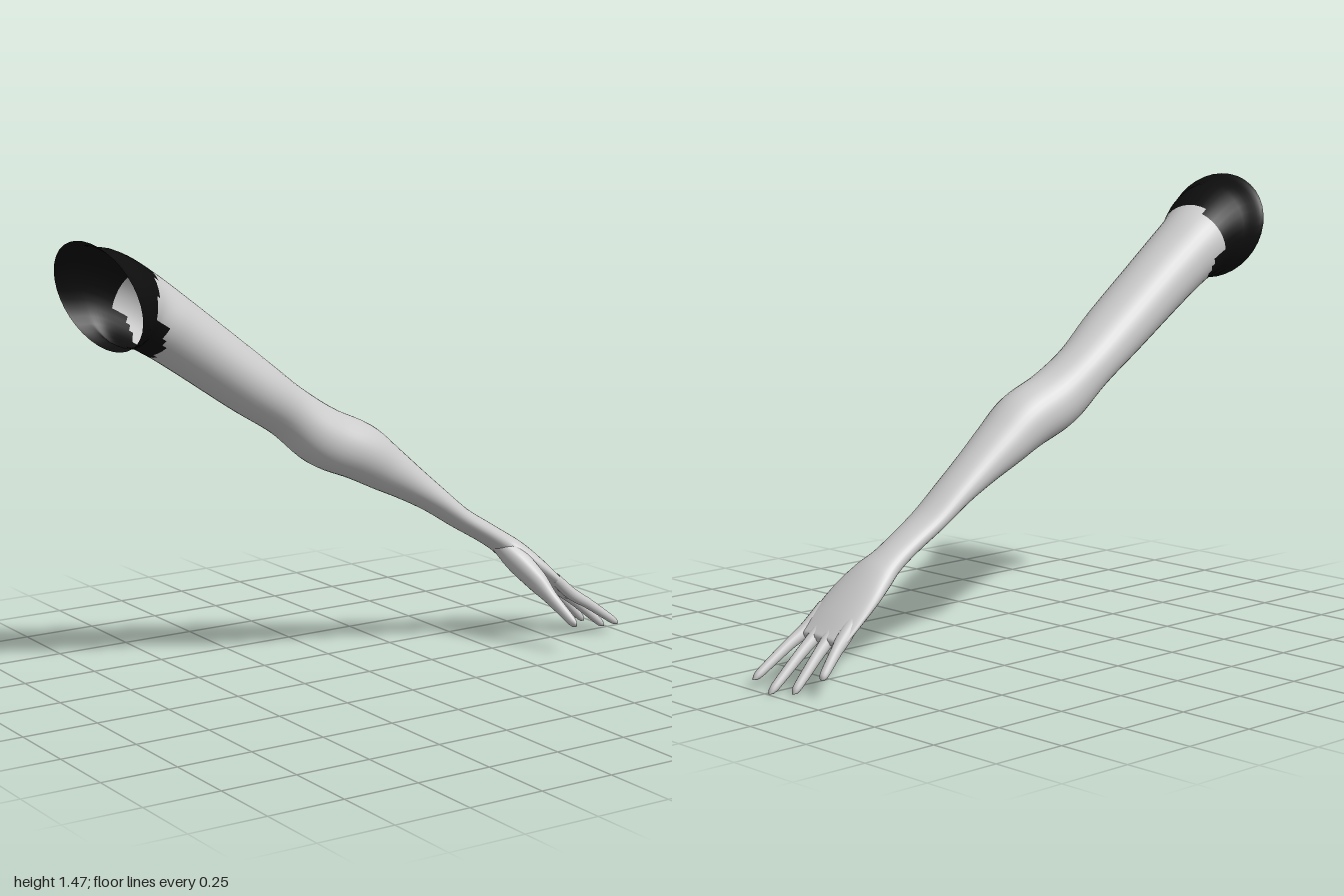
import * as THREE from 'three';

const skin = new THREE.MeshStandardMaterial({ color: 0xcccccc, side: THREE.DoubleSide });
skin.name = 'pale grey skin';
const cloth = new THREE.MeshStandardMaterial({ color: 0x0d0d0d, side: THREE.DoubleSide });
cloth.name = 'black sleeve';

// Smooth limb through stations [x, y, z, half thickness, half width, lean],
// rounded off over the last part of its length (round).
// isCloth(x, angle) tells which faces take the sleeve material.
function limb(name, stations, rings, sides, round, isCloth = () => false) {
  const curve = (pick) => new THREE.CatmullRomCurve3(stations.map(pick), false, 'catmullrom');
  const spine = curve((s) => new THREE.Vector3(s[0], s[1], s[2]));
  const sizes = curve((s) => new THREE.Vector3(s[3], s[4], s[5] || 0));
  const positions = [];
  const faces = [[], []];
  for (let i = 0; i <= rings; i++) {
    const t = i / rings;
    const c = spine.getPoint(t);
    const size = sizes.getPoint(t);
    const along = spine.getTangent(t);
    const side = new THREE.Vector3(0, 0, 1).addScaledVector(along, -along.z).normalize();
    const up = new THREE.Vector3().crossVectors(side, along);
    const e = Math.max(0, (t - 1 + round) / round);
    const taper = Math.sqrt(Math.max(0.0001, 1 - e * e));
    up.multiplyScalar(size.x * taper).addScaledVector(along, size.z);
    side.multiplyScalar(size.y * (0.35 + 0.65 * taper) * (i === rings ? 0.9 : 1));
    for (let j = 0; j < sides; j++) {
      const a = (j / sides) * Math.PI * 2;
      const p = c.clone().addScaledVector(up, Math.sin(a)).addScaledVector(side, Math.cos(a));
      positions.push(p.x, p.y, p.z);
    }
  }
  for (let i = 0; i < rings; i++) {
    for (let j = 0; j < sides; j++) {
      const k = (j + 1) % sides;
      const a = i * sides + j, b = a + sides, d = i * sides + k, e = d + sides;
      const x = (positions[a * 3] + positions[e * 3]) / 2;
      const angle = ((j + 0.5) / sides) * Math.PI * 2;
      faces[isCloth(x, angle) ? 1 : 0].push(a, b, e, a, e, d);
    }
  }
  // close the far end
  const end = spine.getPoint(1);
  const tip = positions.length / 3;
  positions.push(end.x, end.y, end.z);
  for (let j = 0; j < sides; j++) {
    faces[0].push(rings * sides + j, tip, rings * sides + ((j + 1) % sides));
  }
  const geometry = new THREE.BufferGeometry();
  geometry.setAttribute('position', new THREE.Float32BufferAttribute(positions, 3));
  geometry.setIndex([...faces[0], ...faces[1]]);
  geometry.addGroup(0, faces[0].length, 0);
  geometry.addGroup(faces[0].length, faces[1].length, 1);
  geometry.computeVertexNormals();
  const mesh = new THREE.Mesh(geometry, [skin, cloth]);
  mesh.name = name;
  return mesh;
}

// Ragged sleeve hem: long underneath, notched at the sides
function sleeveHem(x, angle) {
  const s = Math.sin(angle);
  if (s < -0.25) return x < -0.75;
  return x < -0.8 + 0.035 * Math.max(0, s);
}

export function createModel() {
  const group = new THREE.Group();
  group.name = 'arm';

  // Open sleeve, upper arm, elbow, forearm and palm
  group.add(limb('armAndSleeve', [
    [-0.94, 1.313, -0.05, 0.16, 0.183, -0.094],
    [-0.87, 1.3, -0.07, 0.14, 0.16, -0.08],
    [-0.785, 1.262, -0.09, 0.12, 0.133, -0.02],
    [-0.7, 1.208, -0.091, 0.11, 0.125],
    [-0.6, 1.138, -0.09, 0.104, 0.12],
    [-0.4, 0.993, -0.088, 0.095, 0.114],
    [-0.25, 0.89, -0.098, 0.086, 0.102],
    [-0.125, 0.797, -0.087, 0.097, 0.105],
    [0, 0.739, -0.077, 0.095, 0.105],
    [0.1, 0.675, -0.075, 0.08, 0.095],
    [0.2, 0.61, -0.073, 0.062, 0.083],
    [0.3, 0.542, -0.07, 0.047, 0.076],
    [0.4, 0.469, -0.067, 0.038, 0.072],
    [0.5, 0.408, -0.066, 0.036, 0.067],
    [0.57, 0.363, -0.064, 0.037, 0.07],
    [0.62, 0.325, -0.057, 0.04, 0.088],
    [0.68, 0.275, -0.05, 0.036, 0.106],
    [0.75, 0.215, -0.046, 0.028, 0.112],
    [0.8, 0.17, -0.043, 0.021, 0.112],
    [0.825, 0.148, -0.042, 0.018, 0.108],
  ], 114, 36, 0.025, sleeveHem));

  // Fingers: name, base z, tip x, tip y, tip z
  const fingers = [
    ['indexFinger', 0.046, 0.99, 0.04, 0.068],
    ['middleFinger', -0.012, 0.995, 0.012, -0.015],
    ['ringFinger', -0.072, 0.962, 0.02, -0.087],
    ['littleFinger', -0.13, 0.908, 0.065, -0.154],
  ];
  for (const [name, z, x, y, tipZ] of fingers) {
    const between = (f, lift) => [
      THREE.MathUtils.lerp(0.8, x, f),
      THREE.MathUtils.lerp(0.17, y, f) + lift,
      THREE.MathUtils.lerp(z, tipZ, f),
    ];
    group.add(limb(name, [
      [0.73, 0.232, z * 0.9, 0.02, 0.024],
      [...between(0, 0), 0.021, 0.023],
      [...between(0.35, 0.003), 0.018, 0.018],
      [...between(0.7, 0.002), 0.015, 0.016],
      [...between(1, 0), 0.012, 0.013],
    ], 28, 16, 0.12));
  }

  // Thumb with its fleshy base
  group.add(limb('thumb', [
    [0.56, 0.362, -0.05, 0.03, 0.035],
    [0.6, 0.305, 0.0, 0.04, 0.05],
    [0.635, 0.245, 0.06, 0.035, 0.044],
    [0.655, 0.195, 0.115, 0.023, 0.028],
    [0.67, 0.155, 0.165, 0.018, 0.021],
    [0.687, 0.11, 0.22, 0.014, 0.017],
  ], 36, 20, 0.1));

  return group;
}
